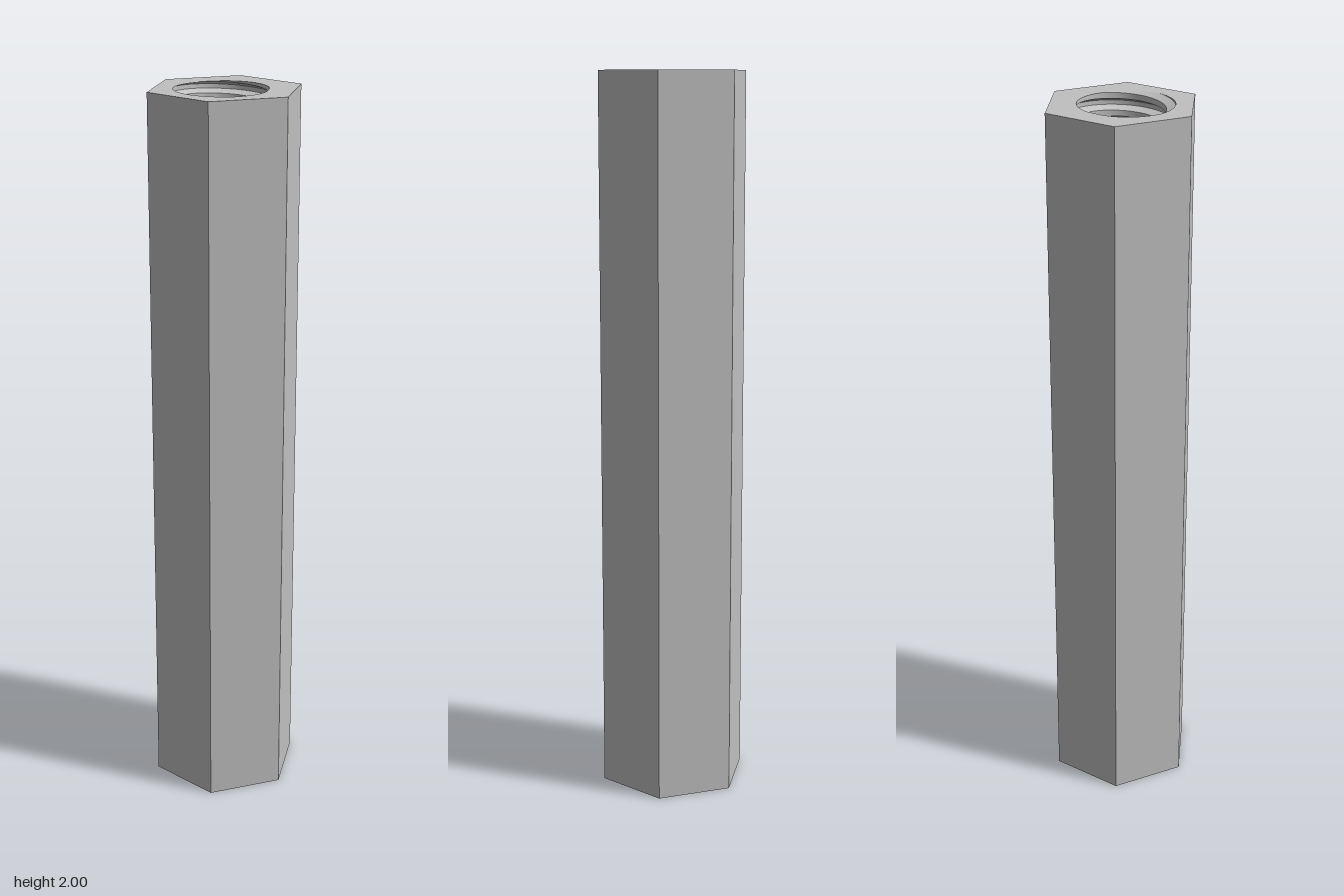
import * as THREE from 'three';
import { toCreasedNormals } from 'three/addons/utils/BufferGeometryUtils.js';

const HEIGHT = 2, CORNER = 0.21, MINOR = 0.114, MAJOR = 0.137, PITCH = 0.046;
const SEGMENTS = 72;

// Thread profile over one pitch: [fraction of pitch, radius]
const PROFILE = [[0.08, MINOR], [0.28, MAJOR], [0.53, MAJOR], [0.75, MINOR]];

function threadRadius(y, phi) {
  const s = (y - HEIGHT) / PITCH + phi / (2 * Math.PI);
  const u = s - Math.floor(s);
  if (u <= PROFILE[0][0] || u >= PROFILE[3][0]) return MINOR;
  const i = u < PROFILE[1][0] ? 0 : u < PROFILE[2][0] ? 1 : 2;
  const [u0, r0] = PROFILE[i], [u1, r1] = PROFILE[i + 1];
  return r0 + (r1 - r0) * (u - u0) / (u1 - u0);
}

// Distance from the axis to the hexagon's edge
function hexRadius(phi) {
  const third = Math.PI / 3;
  const local = phi - Math.floor(phi / third + 1e-6) * third;
  return CORNER * Math.cos(third / 2) / Math.cos(local - third / 2);
}

// Surface of rings around the axis; ring(i, phi) returns [radius, y]
function ringSurface(rows, ring) {
  const point = (i, j) => {
    const phi = j / SEGMENTS * 2 * Math.PI;
    const [r, y] = ring(i, phi);
    return new THREE.Vector3(r * Math.cos(phi), y, r * Math.sin(phi));
  };
  const positions = [];
  const addTriangle = (...corners) => {
    if (new THREE.Triangle(...corners).getArea() < 1e-9) return;
    for (const c of corners) positions.push(c.x, c.y, c.z);
  };
  for (let i = 0; i < rows - 1; i++) {
    for (let j = 0; j < SEGMENTS; j++) {
      const a = point(i, j), b = point(i, j + 1), c = point(i + 1, j), d = point(i + 1, j + 1);
      addTriangle(a, b, c);
      addTriangle(b, d, c);
    }
  }
  const geometry = new THREE.BufferGeometry();
  geometry.setAttribute('position', new THREE.Float32BufferAttribute(positions, 3));
  return toCreasedNormals(geometry, 0.5);
}

export function createModel() {
  const model = new THREE.Group();
  model.name = 'threadedHexStandoff';
  const metal = new THREE.MeshStandardMaterial({ color: 0xc0c0c0 });
  metal.name = 'plain grey metal';

  const add = (name, geometry) => {
    const mesh = new THREE.Mesh(geometry, metal);
    mesh.name = name;
    model.add(mesh);
  };

  // Six flat outer walls, with corners on the x axis
  const walls = new THREE.CylinderGeometry(CORNER, CORNER, HEIGHT, 6, 1, true, Math.PI / 6);
  walls.translate(0, HEIGHT / 2, 0);
  add('hexWalls', toCreasedNormals(walls, 0.5));

  // End faces between the threaded hole and the hexagon
  const endFace = (y, outward) => ringSurface(2, (i, phi) =>
    [(i === 1) === outward ? hexRadius(phi) : threadRadius(y, phi), y]);
  add('topFace', endFace(HEIGHT, true));
  add('bottomFace', endFace(0, false));

  // Right-hand thread through the whole bore, trimmed at both ends
  const turns = Math.ceil(HEIGHT / PITCH) + 3;
  add('threadedBore', ringSurface(turns * 4, (i, phi) => {
    const s = Math.floor(i / 4) - turns + 2 + PROFILE[i % 4][0];
    const rise = HEIGHT + PITCH * (s - phi / (2 * Math.PI));
    const y = THREE.MathUtils.clamp(rise, 0, HEIGHT);
    return [y === rise ? PROFILE[i % 4][1] : threadRadius(y, phi), y];
  }));

  return model;
}
